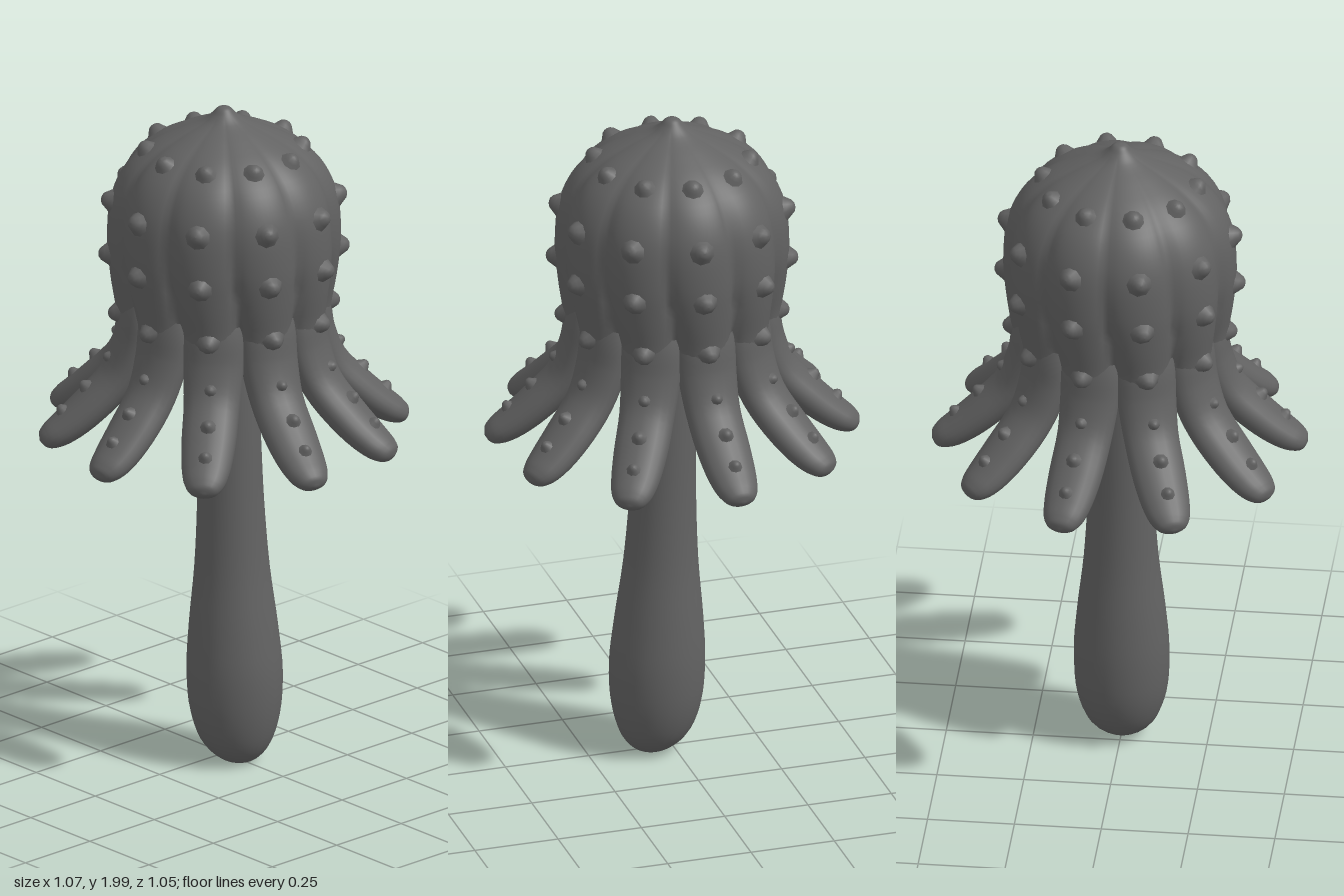
import * as THREE from 'three';
import { mergeVertices } from 'three/addons/utils/BufferGeometryUtils.js';

const ARMS = 10;
const STEP = (Math.PI * 2) / ARMS;
const material = new THREE.MeshStandardMaterial({ color: 0x626262 });

// Smooth skin over a stack of closed loops: point(row, angle) gives [x, y, z]
function skin(rows, sides, point) {
  const positions = [], index = [];
  rows.forEach((row) => {
    for (let j = 0; j < sides; j++) positions.push(...point(row, (j / sides) * Math.PI * 2));
  });
  for (let i = 0; i < rows.length - 1; i++) {
    for (let j = 0; j < sides; j++) {
      const a = i * sides + j, b = i * sides + ((j + 1) % sides);
      index.push(a, b, a + sides, b, b + sides, a + sides);
    }
  }
  let geometry = new THREE.BufferGeometry();
  geometry.setAttribute('position', new THREE.Float32BufferAttribute(positions, 3));
  geometry.setIndex(index);
  geometry = mergeVertices(geometry, 1e-5);
  geometry.computeVertexNormals();
  return geometry;
}

function part(name, geometry) {
  const mesh = new THREE.Mesh(geometry, material);
  mesh.name = name;
  return mesh;
}

const spline = (list) => new THREE.CatmullRomCurve3(list.map((p) => new THREE.Vector3(...p)));

// The ribs drift slightly around the axis from the crown down to the arms
const ribAngle = (y) => THREE.MathUtils.degToRad(-5 + 7 * THREE.MathUtils.smoothstep(y, 1.22, 1.7));

function createStalk() {
  // radius, height, forward offset of the centre
  const rows = spline([
    [0, 0.01, 0.065], [0.045, 0.015, 0.064], [0.095, 0.06, 0.055], [0.128, 0.15, 0.048], [0.138, 0.28, 0.045],
    [0.128, 0.42, 0.04], [0.108, 0.6, 0.034], [0.096, 0.8, 0.028], [0.091, 1.0, 0.022],
    [0.088, 1.2, 0.015], [0.088, 1.45, 0],
  ]).getPoints(40);
  return part('stalk', skin(rows, 24, (p, t) => [p.x * Math.sin(t), p.y, p.z + p.x * Math.cos(t)]));
}

function createCap() {
  // radius, height, groove depth
  const rows = spline([
    [0, 1.45, 0], [0.12, 1.43, 0], [0.21, 1.38, 0.05], [0.262, 1.31, 0.2], [0.3, 1.31, 0.22],
    [0.313, 1.4, 0.18], [0.328, 1.5, 0.13], [0.336, 1.6, 0.1], [0.324, 1.73, 0.08], [0.282, 1.82, 0.08],
    [0.213, 1.883, 0.07], [0.13, 1.927, 0.06], [0.06, 1.958, 0.03], [0.034, 1.978, 0], [0.018, 1.995, 0], [0, 2, 0],
  ]).getPoints(60);
  return part('ribbedCap', skin(rows, 120, (p, t) => {
    const lobe = Math.sqrt(Math.abs(Math.cos((t + ribAngle(p.y)) * ARMS / 2)));
    const r = p.x * (1 - p.z * (1 - lobe));
    return [r * Math.cos(t), p.y, -r * Math.sin(t)];
  }));
}

// One arm, lying in the local x-y plane and curling outward
function armGeometry() {
  // radial distance, height, half width
  const curve = spline([
    [0.22, 1.56, 0], [0.235, 1.5, 0.06], [0.25, 1.4, 0.086], [0.265, 1.3, 0.087], [0.308, 1.2, 0.081],
    [0.392, 1.11, 0.078], [0.465, 1.05, 0.068], [0.505, 1.026, 0.055], [0.528, 1.016, 0.036], [0.538, 1.012, 0],
  ]);
  const n = 36;
  const rows = curve.getPoints(n).map((p, i) => {
    const tangent = curve.getTangent(i / n).setZ(0).normalize();
    return { p, nx: -tangent.y, ny: tangent.x, w: Math.max(p.z, 0) };
  });
  return skin(rows, 20, ({ p, nx, ny, w }, t) => {
    const h = w * 0.66 * Math.sin(t);
    return [p.x + nx * h, p.y + ny * h, -w * Math.cos(t)];
  });
}

// Blunt wart of unit size with a flared foot, pointing along +x
function bumpGeometry() {
  const profile = [[1.45, -0.3], [1.15, 0.08], [0.88, 0.45], [0.62, 0.8], [0.3, 0.98], [0, 1.02]];
  return new THREE.LatheGeometry(profile.map((p) => new THREE.Vector2(...p)), 9).rotateZ(-Math.PI / 2);
}

export function createModel() {
  const model = new THREE.Group();
  model.name = 'tentacledStalk';
  model.add(createStalk(), createCap());

  const arm = armGeometry();
  const bump = bumpGeometry();
  // radial distance, height, size, upward tilt of each bump down a rib
  const bumps = [
    [0.222, 1.872, 0.027, 0.95], [0.324, 1.72, 0.029, 0.3], [0.333, 1.56, 0.028, 0],
    [0.31, 1.385, 0.026, -0.1], [0.338, 1.255, 0.015, 0.35], [0.407, 1.172, 0.016, 0.75], [0.474, 1.104, 0.015, 0.9],
  ];
  for (let i = 0; i < ARMS; i++) {
    const limb = part('arm', arm);
    limb.rotation.y = -(ribAngle(1.2) + i * STEP);
    model.add(limb);

    const row = new THREE.Group();
    row.name = 'bumpRow';
    for (const [r, y, size, tilt] of bumps) {
      const a = ribAngle(y) + i * STEP;
      const knob = part('bump', bump);
      knob.position.set(r * Math.cos(a), y, r * Math.sin(a));
      knob.rotation.set(0, -a, tilt, 'YXZ');
      knob.scale.setScalar(size);
      row.add(knob);
    }
    model.add(row);
  }
  return model;
}
